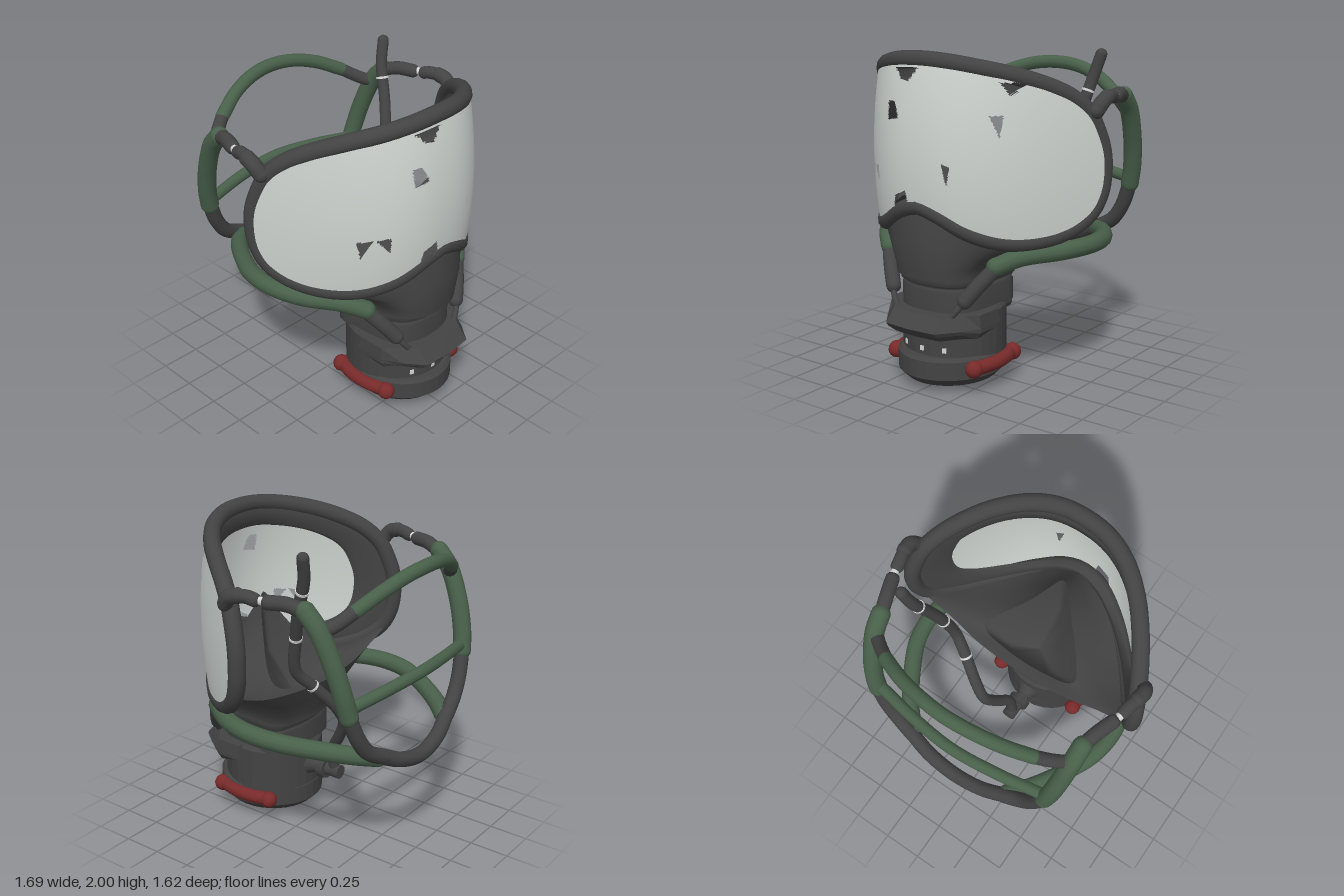
import * as THREE from 'three';

const mat = (name, color) => {
  const m = new THREE.MeshStandardMaterial({ color, side: THREE.DoubleSide });
  m.name = name;
  return m;
};
const V = (p) => new THREE.Vector3(...p);

export function createModel() {
  const dark = mat('dark rubber', 0x434343);
  const green = mat('green strap', 0x48604a);
  const red = mat('red grip', 0x782a2a);
  const glass = mat('grey visor', 0xced3d0);
  const pale = mat('pale metal', 0xd6d6d6);
  const model = new THREE.Group();
  model.name = 'respiratorMask';

  const add = (name, geo, material, pos = [0, 0, 0], rot = [0, 0, 0]) => {
    const m = new THREE.Mesh(geo, material);
    m.name = name;
    m.position.set(...pos);
    m.rotation.set(...rot);
    model.add(m);
    return m;
  };
  // Round hose through a few points, with rounded ends
  const hose = (name, pts, r, material) => {
    const path = new THREE.CatmullRomCurve3(pts.map(V));
    add(name, new THREE.TubeGeometry(path, pts.length * 7, r, 12), material);
    for (const p of [pts[0], pts.at(-1)]) add(name + 'End', new THREE.SphereGeometry(r, 12, 8), material, p);
    return path;
  };
  const mirrorPts = (pts, s) => pts.map(([x, y, z]) => [x * s, y, z]);
  // Half outline (front to back, x >= 0) mirrored into a closed loop
  const closeLoop = (half) => [...half, ...mirrorPts(half.slice(1, -1).reverse(), -1)];
  // Indexed surface between equal-length closed rows of points
  const skin = (rows, keep = () => true) => {
    const n = rows[0].length, index = [], all = rows.flat();
    const tri = (a, b, c) => { if (keep(all[a], all[b], all[c])) index.push(a, b, c); };
    for (let j = 0; j + 1 < rows.length; j++) {
      for (let i = 0; i < n; i++) {
        const k = (i + 1) % n, a = j * n + i, b = j * n + k;
        tri(a, b + n, b);
        tri(a, a + n, b + n);
      }
    }
    const g = new THREE.BufferGeometry();
    g.setAttribute('position', new THREE.Float32BufferAttribute(all.flatMap((p) => [p.x, p.y, p.z]), 3));
    g.setIndex(index);
    g.computeVertexNormals();
    return g;
  };
  const flat = (g) => { const f = g.toNonIndexed(); f.computeVertexNormals(); return f; };
  const sample = (half, n) => {
    const c = new THREE.CatmullRomCurve3(closeLoop(half).map(V), true);
    return Array.from({ length: n }, (_, i) => c.getPoint(i / n));
  };

  // Visor: a double-curved sheet inside the rim outline, slightly wider than the rim
  const bulge = (x, y) => 0.74 - 0.8 * (Math.abs(x) / 0.83) ** 2.3 - 0.08 * ((y - 1.35) / 0.6) ** 2;
  const outline = [[0, 1.95], [0.3, 1.92], [0.57, 1.83], [0.715, 1.7], [0.78, 1.5], [0.795, 1.3], [0.76, 1.08],
    [0.665, 0.96], [0.5, 0.92], [0.3, 0.98], [0.15, 1.07], [0, 1.12]].map(([x, y]) => [x, y, 0]);
  const edge = sample(outline, 240);
  const inset = (sx, sy, dz, widen = 1) => edge.map((p) => {
    const x = p.x * sx, y = 1.42 + (p.y - 1.42) * sy;
    return new THREE.Vector3(x * widen, y, bulge(x, y) + dz);
  });
  // Broken-out chips in the visor
  const chips = [
    [[-0.23, 1.71], [-0.17, 1.71], [-0.13, 1.62], [-0.22, 1.6]],
    [[-0.19, 1.9], [-0.01, 1.91], [-0.08, 1.83], [-0.13, 1.84]],
    [[0.44, 1.84], [0.56, 1.84], [0.49, 1.77]],
    [[-0.18, 1.07], [-0.16, 1.17], [-0.07, 1.21], [-0.05, 1.1]],
    [[0.41, 1.66], [0.47, 1.66], [0.46, 1.54]],
    [[0.18, 1.39], [0.23, 1.37], [0.21, 1.26]],
    [[-0.5, 1.29], [-0.43, 1.3], [-0.48, 1.18]],
    [[-0.42, 1.3], [-0.35, 1.31], [-0.35, 1.21]],
  ];
  const inside = (poly, x, y) => poly.reduce((hit, [ax, ay], i) => {
    const [bx, by] = poly[(i + 1) % poly.length];
    return (ay > y) !== (by > y) && x < ax + ((y - ay) * (bx - ax)) / (by - ay) ? !hit : hit;
  }, false);
  const whole = (a, b, c) => !chips.some((q) => inside(q, (a.x + b.x + c.x) / 3, (a.y + b.y + c.y) / 3));
  const visorRows = Array.from({ length: 91 }, (_, j) => inset(1 - j / 90, 0.955 * (1 - j / 90), 0, 1.04));
  add('visor', skin(visorRows, whole), glass);

  // Rim and the inner face seal behind the visor
  const rimPath = new THREE.CatmullRomCurve3(inset(1, 1, -0.035).filter((_, i) => i % 6 === 0), true);
  add('visorRim', new THREE.TubeGeometry(rimPath, 120, 0.052, 12, true), dark);
  add('faceSeal', skin([inset(0.83, 0.72, -0.06), inset(0.84, 0.74, -0.1), inset(0.93, 0.9, -0.1), inset(1, 1, -0.06)]), dark);

  // Chin piece: from the lower rim down to the neck
  const onRim = (x, y) => [x, y, bulge(x, y) - 0.02];
  const chinTop = [onRim(0, 1.12), onRim(0.15, 1.07), onRim(0.3, 0.98), onRim(0.5, 0.92), onRim(0.665, 0.96),
    [0.75, 1.07, 0.02], [0.55, 1.0, 0], [0.3, 0.97, -0.04], [0, 0.95, -0.05]];
  const chinMid = [[0, 0.92, 0.745], [0.13, 0.9, 0.72], [0.24, 0.85, 0.66], [0.33, 0.82, 0.54], [0.37, 0.83, 0.38],
    [0.38, 0.86, 0.22], [0.35, 0.86, 0.04], [0.2, 0.85, 0], [0, 0.84, -0.02]];
  const neckLoop = (y, sx, sz = sx) => [[0, 0.72], [0.1, 0.71], [0.2, 0.66], [0.26, 0.56], [0.28, 0.42], [0.285, 0.28],
    [0.275, 0.1], [0.15, 0.05], [0, 0.03]].map(([x, z]) => [x * sx, y, 0.37 + (z - 0.37) * sz]);
  const loft = (name, loops, n) => add(name, skin(loops.map((l) => sample(l, n))), dark);
  loft('chinPiece', [chinTop, chinMid, neckLoop(0.75, 1.02), neckLoop(0.69, 1)], 64);
  loft('chinBase', [neckLoop(0.69, 1), neckLoop(0.69, 0.8)], 64);

  // Nose cup inside the mask
  const cupSlope = [[0, 1.23, 0.57], [0.16, 1.11, 0.5], [0.28, 1.01, 0.43], [0.4, 0.95, 0.33], [0.5, 0.96, 0.2],
    [0.53, 0.99, 0.08], [0.42, 0.98, 0.02], [0.2, 0.96, -0.01], [0, 0.95, -0.02]];
  const cupCrest = [[0, 1.43, 0.44], [0.08, 1.3, 0.39], [0.15, 1.18, 0.32], [0.22, 1.1, 0.25], [0.29, 1.04, 0.17],
    [0.34, 1.0, 0.08], [0.3, 0.97, 0.05], [0.15, 0.95, 0.03], [0, 0.95, 0.02]];
  const cupPit = [[0, 1.05, 0.41], [0.06, 0.98, 0.34], [0.1, 0.92, 0.28], [0.13, 0.88, 0.22], [0.15, 0.85, 0.17],
    [0.17, 0.83, 0.12], [0.15, 0.82, 0.1], [0.08, 0.82, 0.09], [0, 0.82, 0.09]];
  loft('noseCup', [cupCrest, cupSlope, chinTop], 64);
  loft('noseCupOpening', [cupPit.map(() => [0, 0.8, 0.2]), cupPit, cupCrest], 64);

  // Neck with a narrow groove
  loft('neck', [neckLoop(0.69, 1, 0.88), neckLoop(0.65, 1, 0.88), neckLoop(0.64, 0.92, 0.82), neckLoop(0.625, 0.92, 0.82),
    neckLoop(0.615, 0.98, 0.85), neckLoop(0.48, 0.98, 0.85)], 40);

  // Canister, base band and bottom knob
  const lathe = (pts) => new THREE.LatheGeometry(pts.map(([r, y]) => new THREE.Vector2(r, y)), 32);
  add('canister', flat(lathe([[0.315, 0.18], [0.315, 0.47], [0.3, 0.49], [0, 0.49]])), dark, [0, 0, 0.37]);
  add('canisterBase', flat(lathe([[0, 0.04], [0.27, 0.04], [0.318, 0.09], [0.318, 0.2], [0.3, 0.22], [0, 0.22]])), dark, [0, 0, 0.395])
    .scale.z = 1.08;
  add('bottomKnob', new THREE.CylinderGeometry(0.105, 0.095, 0.05, 24), dark, [0, 0.025, 0.38]);
  for (const x of [-0.15, 0, 0.14]) {
    add('canisterRivet', new THREE.BoxGeometry(0.025, 0.03, 0.008), pale, [x, 0.26, 0.37 + Math.sqrt(0.0985 - x * x)], [0, x * 3, 0]);
  }

  // Faceted front collar
  const collar = (y, s, front, back) => closeLoop([[0, front], [0.18, front - 0.015], [0.27, front - 0.13], [0.34, 0.56],
    [0.34, back], [0.2, back], [0, back]].map(([x, z]) => [x * s, y, z])).map(V);
  add('frontCollar', flat(skin([collar(0.49, 0, 0.5, 0.5), collar(0.49, 0.98, 0.74, 0.39), collar(0.41, 1, 0.81, 0.37),
    collar(0.385, 1, 0.79, 0.42), collar(0.345, 0.92, 0.74, 0.54), collar(0.345, 0, 0.6, 0.6)])), dark);

  // Rear outlet and its thin hose with clips
  add('outletPipe', new THREE.CylinderGeometry(0.045, 0.045, 0.2, 16), dark, [0, 0.34, -0.07], [Math.PI / 2, 0, 0]);
  add('outletNut', new THREE.CylinderGeometry(0.072, 0.072, 0.05, 8), dark, [0, 0.34, -0.045], [Math.PI / 2, 0, 0]);
  add('outletFlare', new THREE.CylinderGeometry(0.08, 0.04, 0.07, 16), dark, [0, 0.34, 0.035], [Math.PI / 2, 0, 0]);
  const feed = hose('feedHose', [[0, 0.36, -0.12], [0.02, 0.52, -0.13], [0.06, 0.63, -0.2], [0.11, 0.78, -0.27],
    [0.18, 0.9, -0.25], [0.3, 1.05, -0.18], [0.4, 1.17, -0.13], [0.45, 1.4, -0.17], [0.5, 1.6, -0.23],
    [0.54, 1.8, -0.3], [0.58, 1.94, -0.325]], 0.036, dark);
  for (const t of [0.5, 0.7, 0.86]) {
    const clip = add('hoseClip', new THREE.CylinderGeometry(0.04, 0.04, 0.014, 14), pale, feed.getPoint(t).toArray());
    clip.quaternion.setFromUnitVectors(new THREE.Vector3(0, 1, 0), feed.getTangent(t));
  }

  for (const s of [1, -1]) {
    const side = s > 0 ? 'left' : 'right';
    const strap = (name, pts, r, m) => hose(side + name, mirrorPts(pts, s), r, m);

    // Red grip curved round the base
    const grip = [-1, -0.5, 0, 0.5, 1].map((t) => [0.325 - 0.04 * t * t, 0.155, 0.375 + 0.195 * t]);
    strap('Grip', grip, 0.044, red);
    for (const p of [grip[0], grip[4]]) {
      add(side + 'GripEnd', new THREE.SphereGeometry(0.053, 14, 10), red, [(p[0] + 0.012) * s, p[1], p[2]]);
    }

    // Lower strap: rod, sleeve and long strap to the back
    strap('LowerRod', [[0.19, 0.46, 0.67], [0.24, 0.53, 0.65], [0.28, 0.6, 0.61]], 0.018, dark);
    strap('LowerSleeve', [[0.27, 0.58, 0.62], [0.33, 0.67, 0.57], [0.4, 0.77, 0.5]], 0.046, dark);
    strap('LowerStrap', [[0.4, 0.78, 0.5], [0.5, 0.83, 0.4], [0.64, 0.845, 0.2], [0.695, 0.845, 0], [0.675, 0.835, -0.2],
      [0.58, 0.81, -0.4], [0.46, 0.78, -0.58], [0.36, 0.76, -0.69]], 0.055, green);

    // Upper strap from the rim with its buckle
    strap('RimTab', [[0.785, 1.66, 0.06], [0.8, 1.71, 0.02], [0.795, 1.73, -0.04]], 0.046, dark);
    strap('BuckleTab', [[0.795, 1.73, -0.04], [0.78, 1.73, -0.1], [0.772, 1.72, -0.14]], 0.04, dark);
    strap('UpperLink', [[0.77, 1.72, -0.15], [0.755, 1.72, -0.22]], 0.024, pale);
    strap('UpperSleeve', [[0.75, 1.715, -0.22], [0.715, 1.715, -0.32], [0.68, 1.68, -0.43]], 0.043, dark);

    // Side arch down the back of the head
    strap('ArchStrap', [[0.685, 1.69, -0.42], [0.68, 1.6, -0.5], [0.66, 1.4, -0.59], [0.635, 1.22, -0.64], [0.61, 1.1, -0.66]], 0.057, green);
    strap('ArchSleeve', [[0.61, 1.1, -0.66], [0.55, 0.95, -0.68], [0.47, 0.84, -0.695], [0.35, 0.77, -0.72]], 0.047, dark);

    // Sleeves of the band that crosses the crown
    strap('CrownSleeve', [[0.665, 1.58, -0.51], [0.59, 1.62, -0.565], [0.5, 1.68, -0.62]], 0.04, dark);
  }

  // Bands that cross the back of the head
  hose('crownBand', [[-0.5, 1.68, -0.62], [-0.34, 1.76, -0.685], [-0.17, 1.81, -0.725], [0, 1.825, -0.74], [0.17, 1.81, -0.725],
    [0.34, 1.76, -0.685], [0.5, 1.68, -0.62]], 0.042, green);
  hose('middleBand', [[-0.61, 1.14, -0.65], [-0.3, 1.17, -0.71], [0, 1.185, -0.74], [0.3, 1.17, -0.71], [0.61, 1.14, -0.65]], 0.037, green);
  hose('lowerBand', [[-0.36, 0.775, -0.715], [-0.2, 0.7, -0.75], [0, 0.66, -0.762], [0.2, 0.7, -0.75], [0.36, 0.775, -0.715]], 0.047, dark);

  return model;
}
